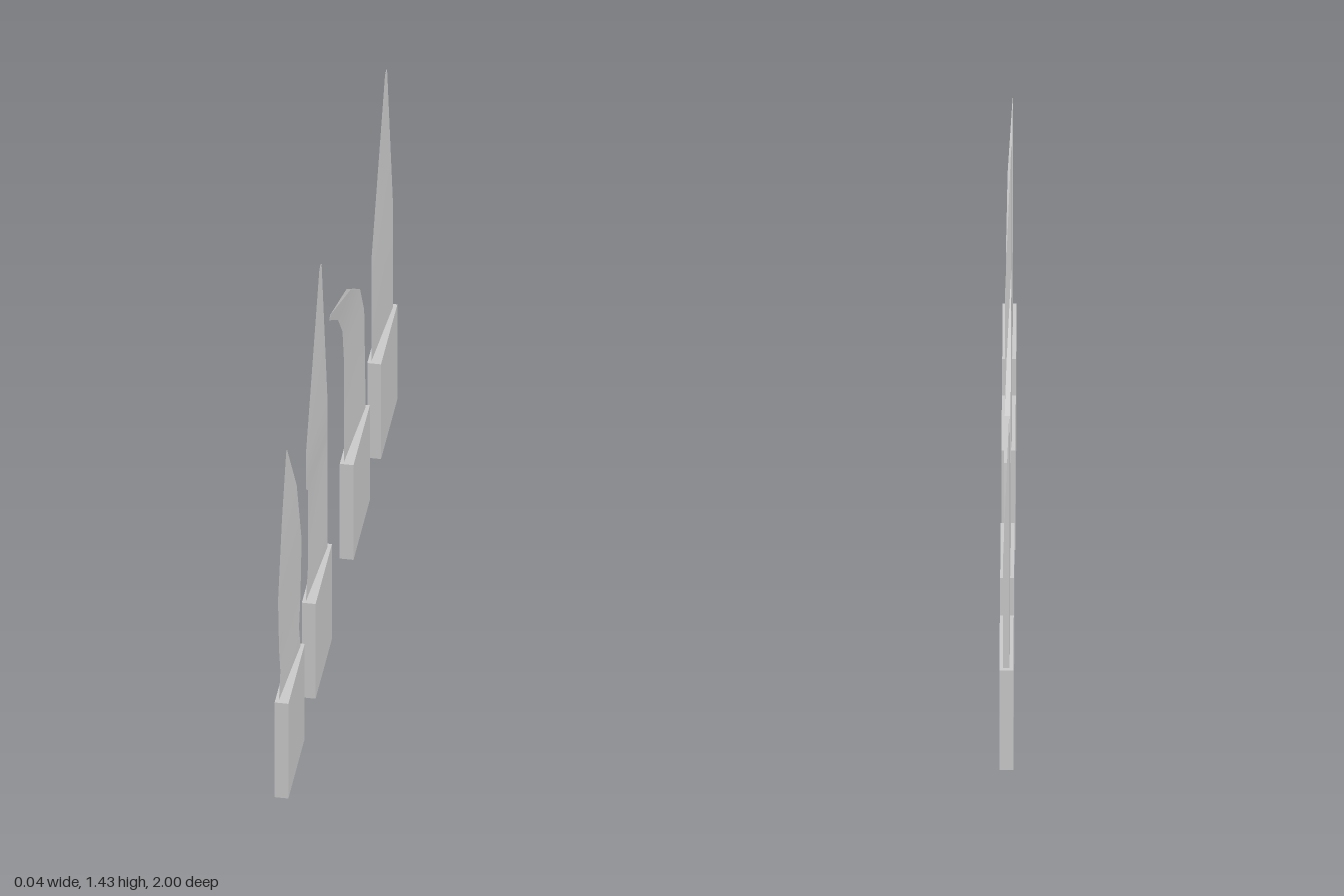
import * as THREE from 'three';
import { toCreasedNormals } from 'three/addons/utils/BufferGeometryUtils.js';

const material = new THREE.MeshStandardMaterial({ color: 0xcccccc });
const FLAT = -0.01; // x of the flat side of every blade
const HANDLE = { width: 0.042, height: 0.36, depth: 0.3 };

// Wedge blade lofted through rows of [y, edge z, spine z, spine thickness].
function bladeGeometry(rows) {
  const positions = [];
  const index = [];
  rows.forEach(([y, edge, spine, thickness], i) => {
    positions.push(FLAT, y, edge, FLAT + thickness, y, spine, FLAT, y, spine);
    if (i === rows.length - 1) return;
    for (let k = 0; k < 3; k++) {
      const a = i * 3 + k;
      const b = i * 3 + (k + 1) % 3;
      index.push(a, b, b + 3, a, b + 3, a + 3);
    }
  });
  const top = (rows.length - 1) * 3;
  index.push(0, 2, 1, top, top + 1, top + 2);
  const geometry = new THREE.BufferGeometry();
  geometry.setAttribute('position', new THREE.Float32BufferAttribute(positions, 3));
  geometry.setIndex(index);
  return toCreasedNormals(geometry, 0.3);
}

const knives = [
  {
    name: 'leafKnife', z: 0.847,
    rows: [
      [0.35, 0.985, 0.71, 0.02], [0.36, 0.983, 0.71, 0.02], [0.45, 0.957, 0.736, 0.02],
      [0.55, 0.982, 0.71, 0.02], [0.75, 1.0, 0.688, 0.02], [1.0, 0.93, 0.748, 0.015],
      [1.2, 0.852, 0.838, 0.001],
    ],
  },
  {
    name: 'notchedKnife', z: 0.348,
    rows: [
      [0.35, 0.49, 0.214, 0.02], [0.36, 0.49, 0.214, 0.02], [0.476, 0.447, 0.214, 0.02],
      [0.75, 0.447, 0.214, 0.02], [0.787, 0.49, 0.214, 0.02], [0.92, 0.49, 0.214, 0.02],
      [1.433, 0.244, 0.214, 0.002],
    ],
  },
  {
    name: 'hookKnife', z: -0.346,
    rows: [
      [0.35, -0.206, -0.485, 0.02], [0.36, -0.206, -0.485, 0.02], [0.75, -0.206, -0.458, 0.02],
      [0.877, -0.18, -0.394, 0.018], [0.982, -0.099, -0.253, 0.013], [1.107, 0.067, 0.037, 0.001],
    ],
  },
  {
    name: 'straightKnife', z: -0.85,
    rows: [
      [0.35, -0.712, -0.986, 0.02], [0.75, -0.712, -0.986, 0.02], [1.26, -0.96, -0.986, 0.002],
    ],
  },
];

export function createModel() {
  const model = new THREE.Group();
  model.name = 'knifeSet';
  for (const { name, z, rows } of knives) {
    const knife = new THREE.Group();
    knife.name = name;

    // Plain rectangular handle
    const handle = new THREE.Mesh(
      new THREE.BoxGeometry(HANDLE.width, HANDLE.height, HANDLE.depth), material);
    handle.name = 'handle';
    handle.position.set(0, HANDLE.height / 2, z);

    // Blade ground on one side, thick at the spine
    const blade = new THREE.Mesh(bladeGeometry(rows), material);
    blade.name = 'blade';

    knife.add(handle, blade);
    model.add(knife);
  }
  return model;
}
